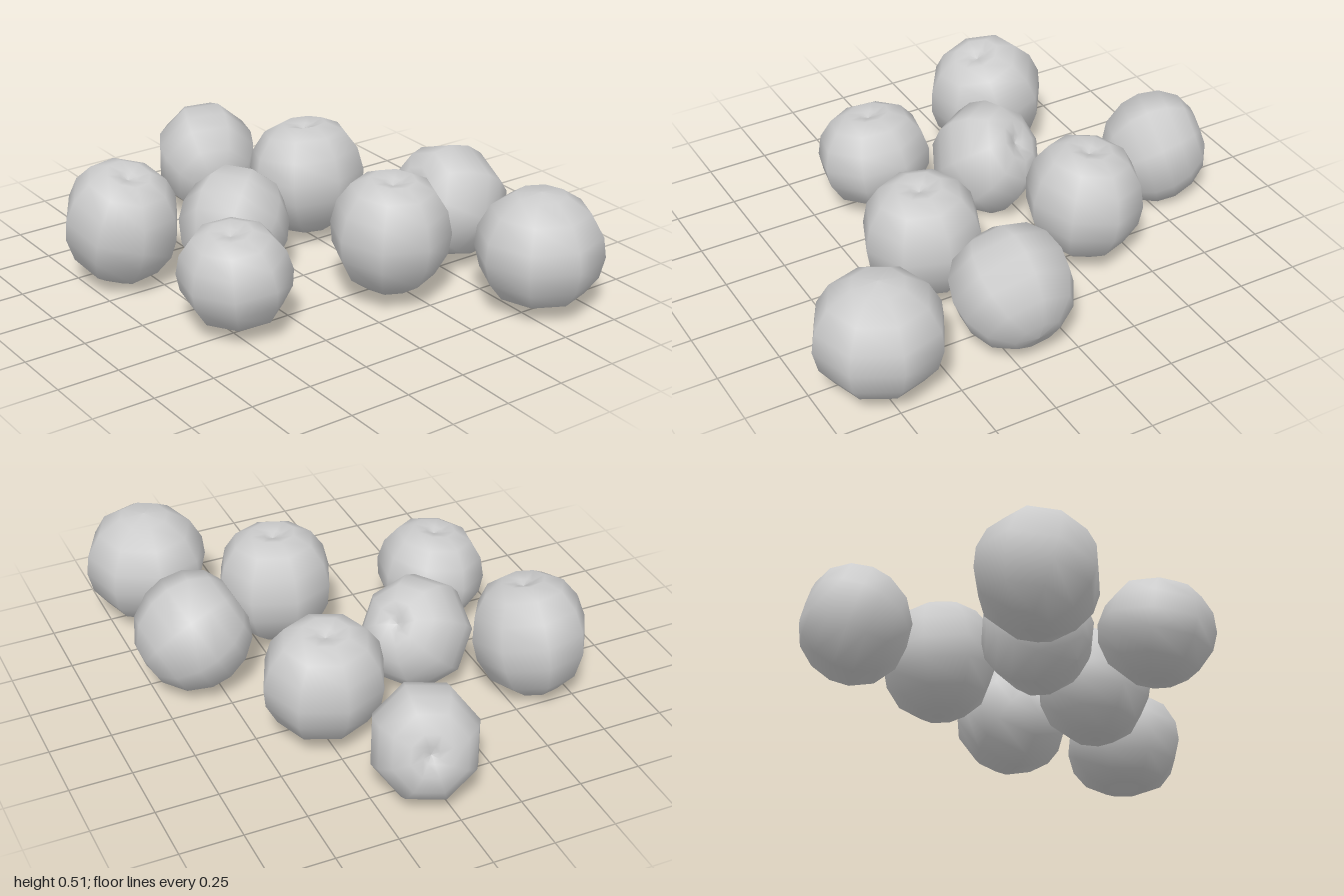
import * as THREE from 'three';

// Half profile of one fruit, bottom to top, with a shallow dimple at the crown
const PROFILE = [
  [0, -0.95], [0.4, -0.9], [0.76, -0.64], [0.96, -0.25], [1, 0.1],
  [0.91, 0.48], [0.69, 0.79], [0.38, 0.94], [0.15, 0.88], [0, 0.82],
].map(([r, y]) => new THREE.Vector2(r, y));

// Each fruit: lowest corner, highest corner, direction of the dimple, spin in degrees
const FRUITS = [
  { min: [-0.16, 0.01, -1.0], max: [0.26, 0.46, -0.575], crown: [0.3, 0.33, -0.88], spin: 0 },
  { min: [-0.835, 0.01, -0.615], max: [-0.385, 0.5, -0.135], crown: [0.05, 1, 0.25], spin: -11 },
  { min: [-0.445, 0, -0.37], max: [-0.01, 0.46, 0.06], crown: [0.65, 0.6, -0.4], spin: 10 },
  { min: [0, 0.03, -0.56], max: [0.495, 0.5, -0.1], crown: [0, 1, -0.1], spin: 0 },
  { min: [-0.69, 0.025, 0], max: [-0.265, 0.43, 0.46], crown: [-0.12, 1, 0.05], spin: 10 },
  { min: [-0.07, 0.04, 0.11], max: [0.405, 0.51, 0.585], crown: [0, 1, 0.05], spin: 0 },
  { min: [0.355, 0.02, -0.05], max: [0.815, 0.49, 0.435], crown: [-0.85, 0.45, 0], spin: 0 },
  { min: [0.33, 0.04, 0.49], max: [0.83, 0.485, 1.0], crown: [0, -1, 0.02], spin: 5 },
];

const UP = new THREE.Vector3(0, 1, 0);

// An eight-sided fruit turned to its crown direction and fitted between two corners
function makeFruit({ min, max, crown, spin }) {
  const geometry = new THREE.LatheGeometry(PROFILE, 8);
  geometry.rotateY(Math.PI / 2 + THREE.MathUtils.degToRad(spin));
  const direction = new THREE.Vector3(...crown).normalize();
  geometry.applyQuaternion(new THREE.Quaternion().setFromUnitVectors(UP, direction));
  geometry.center();
  geometry.computeBoundingBox();

  const size = geometry.boundingBox.getSize(new THREE.Vector3());
  const target = new THREE.Box3(new THREE.Vector3(...min), new THREE.Vector3(...max));
  const scale = target.getSize(new THREE.Vector3()).divide(size);
  geometry.scale(scale.x, scale.y, scale.z);

  const mesh = new THREE.Mesh(geometry, new THREE.MeshStandardMaterial({ color: 0xcccccc }));
  target.getCenter(mesh.position);
  return mesh;
}

export function createModel() {
  const group = new THREE.Group();
  group.name = 'scatteredFruit';
  FRUITS.forEach((spec, i) => {
    const fruit = makeFruit(spec);
    fruit.name = `fruit${i + 1}`;
    group.add(fruit);
  });
  return group;
}
